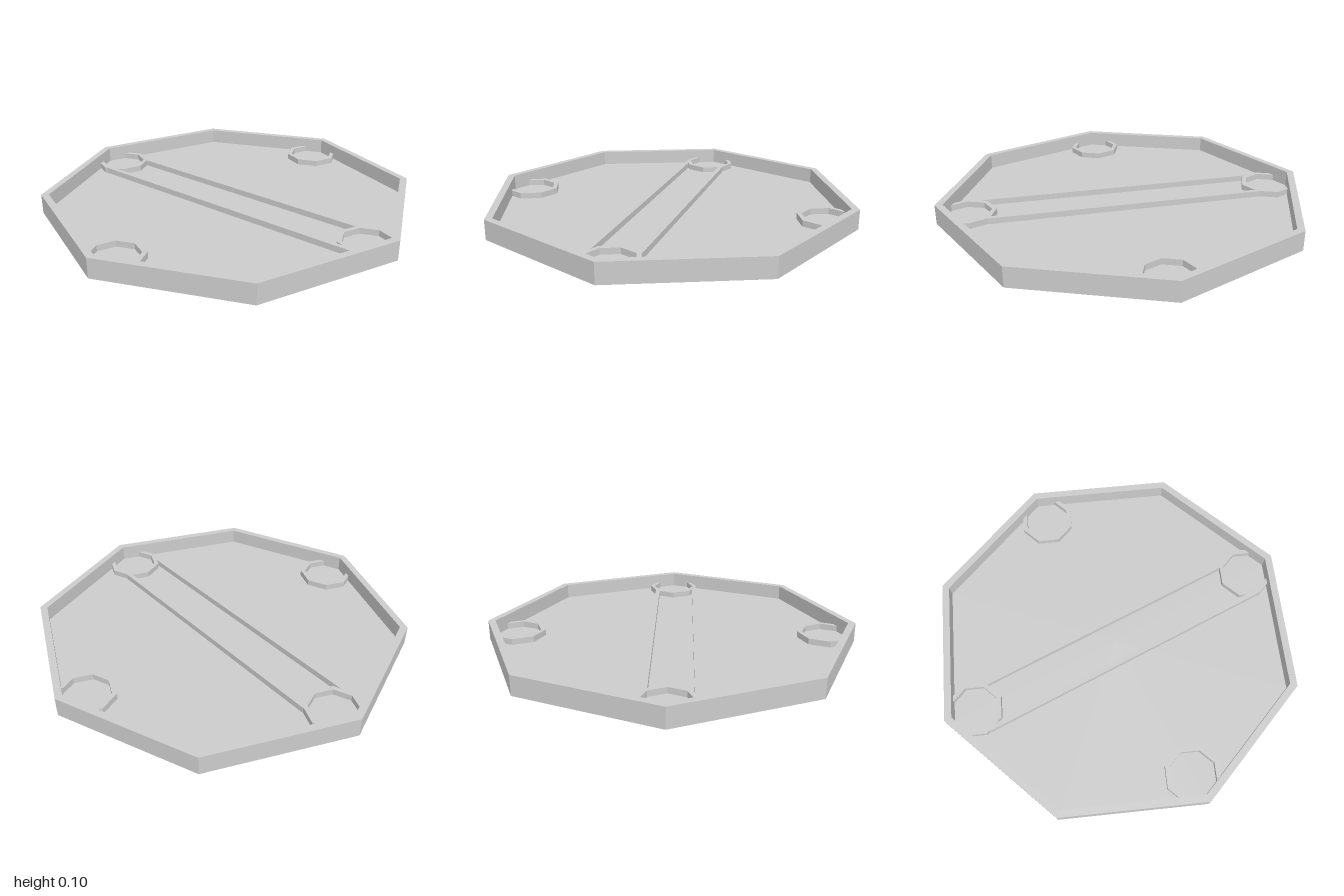
import * as THREE from 'three';

const FLOOR = 0.023, RIDGE = 0.055, HEIGHT = 0.105;
const material = new THREE.MeshStandardMaterial({ color: 0xcccccc, flatShading: true });

function addMesh(parent, name, geometry, x = 0, y = 0, z = 0) {
  const mesh = new THREE.Mesh(geometry, material);
  mesh.name = name;
  mesh.position.set(x, y, z);
  parent.add(mesh);
}

// Eight-sided solid turned from a profile of [radius, y] points
function octagonal(profile) {
  const points = profile.map(([r, y]) => new THREE.Vector2(r, y));
  const geometry = new THREE.LatheGeometry(points, 8).toNonIndexed();
  geometry.computeVertexNormals();
  return geometry;
}

export function createModel() {
  const group = new THREE.Group();
  group.name = 'octagonalTray';

  // Base plate and raised rim
  addMesh(group, 'tray', octagonal([
    [0, 0], [1, 0], [1, HEIGHT], [0.96, HEIGHT], [0.96, FLOOR], [0, FLOOR],
  ]));

  // A low ring in four of the corners
  const ring = octagonal([
    [0.125, FLOOR], [0.15, FLOOR], [0.15, RIDGE], [0.125, RIDGE], [0.125, FLOOR],
  ]);
  const reach = 0.838;
  addMesh(group, 'leftRing', ring, reach, 0, 0);
  addMesh(group, 'rightRing', ring, -reach, 0, 0);
  addMesh(group, 'frontRing', ring, 0, 0, reach);
  addMesh(group, 'backRing', ring, 0, 0, -reach);

  // Two rails joining the side rings
  const railHeight = RIDGE - FLOOR, railY = (RIDGE + FLOOR) / 2;
  addMesh(group, 'backRail', new THREE.BoxGeometry(1.49, railHeight, 0.025), 0, railY, -0.102);
  addMesh(group, 'frontRail', new THREE.BoxGeometry(1.64, railHeight, 0.025), 0, railY, 0.134);

  return group;
}
